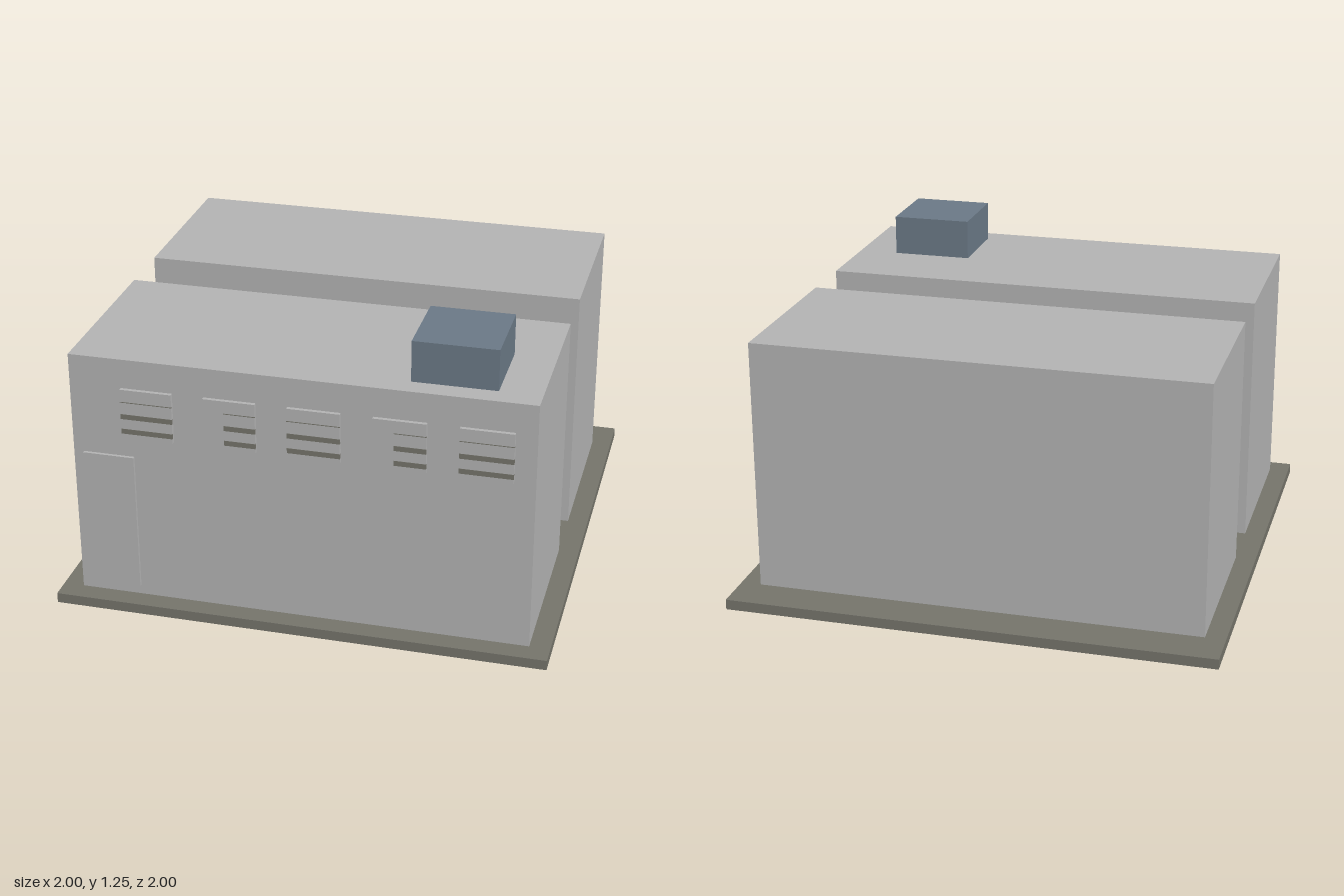
import * as THREE from 'three';

const wallMat = new THREE.MeshStandardMaterial({ color: 0xb2b2b2 });
wallMat.name = 'concrete grey';
const darkMat = new THREE.MeshStandardMaterial({ color: 0x74736a });
darkMat.name = 'dark olive grey';
const unitMat = new THREE.MeshStandardMaterial({ color: 0x6a7885 });
unitMat.name = 'slate blue';

// Box given by its minimum and maximum corners
function box(name, mat, [x0, y0, z0], [x1, y1, z1]) {
  const mesh = new THREE.Mesh(new THREE.BoxGeometry(x1 - x0, y1 - y0, z1 - z0), mat);
  mesh.position.set((x0 + x1) / 2, (y0 + y1) / 2, (z0 + z1) / 2);
  mesh.name = name;
  return mesh;
}

// Window panel with dark louvre strips; inset shortens the strips on the left
function makeWindow(x, inset) {
  const g = new THREE.Group();
  g.name = 'window';
  g.add(box('windowPanel', wallMat, [x, 0.754, -0.005], [x + 0.208, 0.962, 0.0155]));
  for (const [y, h] of [[0.784, 0.021], [0.847, 0.021], [0.909, 0.003]]) {
    g.add(box('louvreStrip', darkMat,
      [x + inset, y - h / 2, 0.009], [x + 0.2085, y + h / 2, 0.0167]));
  }
  return g;
}

// One block: solid body, door and a row of five windows, front wall at local z = 0
function makeBlock() {
  const g = new THREE.Group();
  g.add(box('walls', wallMat, [-0.917, 0.042, -0.75], [0.917, 1.083, 0]));
  g.add(box('door', wallMat, [-0.875, 0.083, -0.005], [-0.667, 0.667, 0.0125]));
  for (let i = 0; i < 5; i++) {
    g.add(makeWindow(-0.708 + i / 3, i % 2 ? 0.083 : 0));
  }
  return g;
}

export function createModel() {
  const model = new THREE.Group();
  model.name = 'twinBlocks';

  // Ground slab
  model.add(box('baseSlab', darkMat, [-1, 0, -1], [1, 0.042, 1]));

  // Front and back blocks
  for (const [name, z] of [['frontBlock', 0.917], ['backBlock', -0.083]]) {
    const block = makeBlock();
    block.name = name;
    block.position.z = z;
    model.add(block);
  }

  // Rooftop unit on the front block
  model.add(box('rooftopUnit', unitMat, [0.417, 1.083, 0.5], [0.75, 1.25, 0.833]));
  return model;
}
